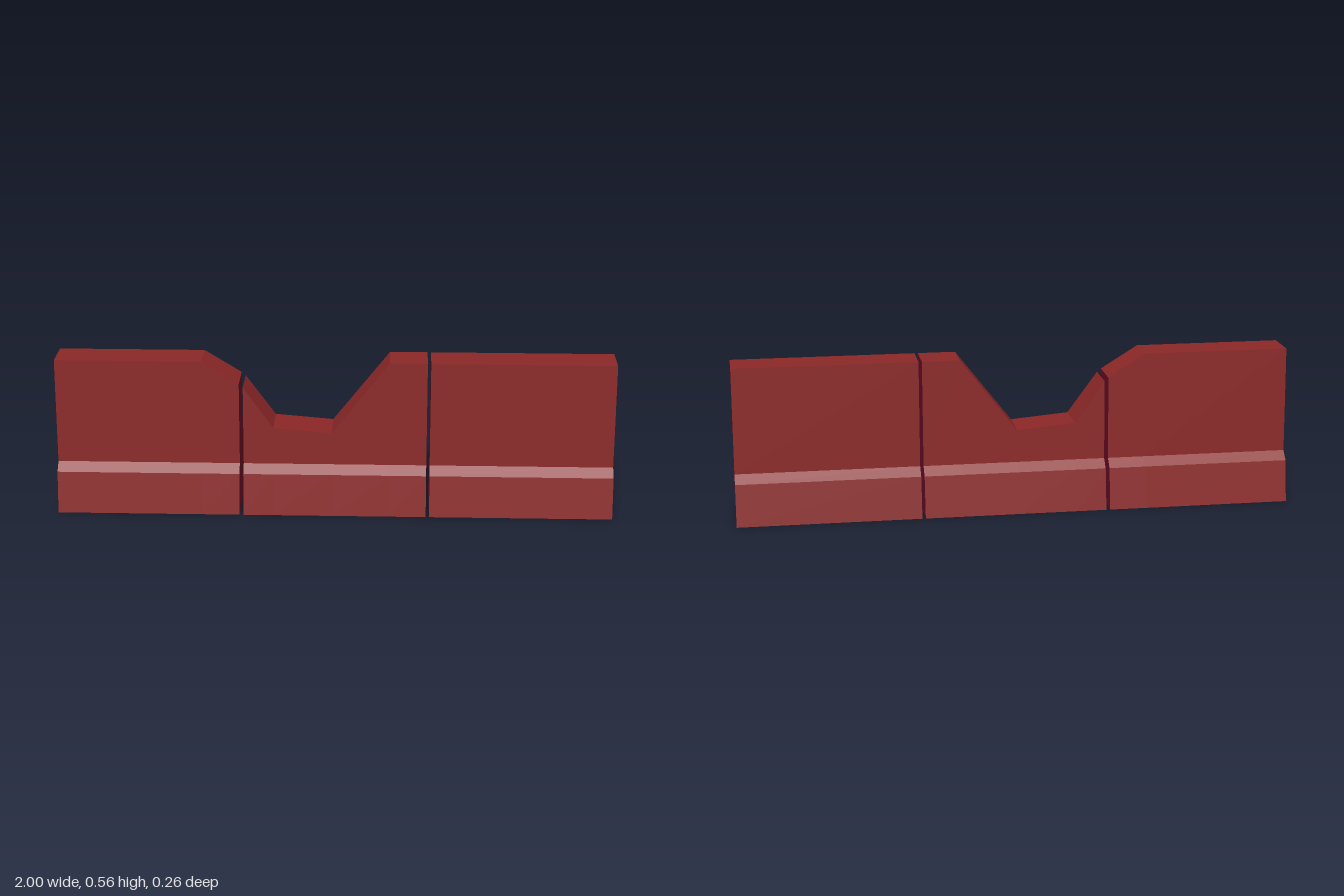
import * as THREE from 'three';

// Flared foot and shoulder of the wall section: [y, front z, back z]
const FOOT = [[0, 0.133, -0.132], [0.15, 0.112, -0.109], [0.18, 0.081, -0.078]];
const FULL = 0.56;

// Closed section at x, running up the front and down the back, trimmed at height top
function ring(x, top) {
  const t = (top - 0.18) / (FULL - 0.18);
  const levels = [...FOOT, [top, 0.081 - 0.011 * t, -0.078 + 0.012 * t]];
  return [
    ...levels.map(([y, f]) => new THREE.Vector3(x, y, f)),
    ...levels.map(([y, , b]) => new THREE.Vector3(x, y, b)).reverse(),
  ];
}

// Lofts a wall block along its top outline [[x, height], ...]
function block(name, outline, materials) {
  const rings = outline.map(([x, top]) => ring(x, top));
  const pos = [];
  const quad = (a, b, c, d) => [a, b, c, a, c, d].forEach((p) => pos.push(p.x, p.y, p.z));

  // Sides, top and underside
  for (let s = 0; s < rings.length - 1; s++) {
    const a = rings[s], b = rings[s + 1];
    for (let i = 0; i < 8; i++) {
      const j = (i + 1) % 8;
      quad(a[i], b[i], b[j], a[j]);
    }
  }
  const skin = pos.length / 3;

  // End faces
  const l = rings[0], r = rings[rings.length - 1];
  for (let k = 0; k < 3; k++) {
    quad(r[k], r[7 - k], r[6 - k], r[k + 1]);
    quad(l[7 - k], l[k], l[k + 1], l[6 - k]);
  }

  const geo = new THREE.BufferGeometry();
  geo.setAttribute('position', new THREE.Float32BufferAttribute(pos, 3));
  geo.addGroup(0, skin, 0);
  geo.addGroup(skin, pos.length / 3 - skin, 1);
  geo.computeVertexNormals();
  const mesh = new THREE.Mesh(geo, materials);
  mesh.name = name;
  return mesh;
}

export function createModel() {
  const wallRed = new THREE.MeshStandardMaterial({ color: 0x8b2727 });
  wallRed.name = 'wallRed';
  const endCrimson = new THREE.MeshStandardMaterial({ color: 0x6a0f27 });
  endCrimson.name = 'endCrimson';
  const mats = [wallRed, endCrimson];

  const group = new THREE.Group();
  group.name = 'brokenBarrier';
  group.add(
    block('chippedBlock', [[-1, FULL], [-0.475, FULL], [-0.342, 0.477]], mats),
    block('brokenMiddleBlock',
      [[-0.328, 0.465], [-0.22, 0.315], [-0.01, 0.297], [0.195, FULL], [0.33, FULL]], mats),
    block('wholeBlock', [[0.342, FULL], [1, FULL]], mats),
  );
  return group;
}
